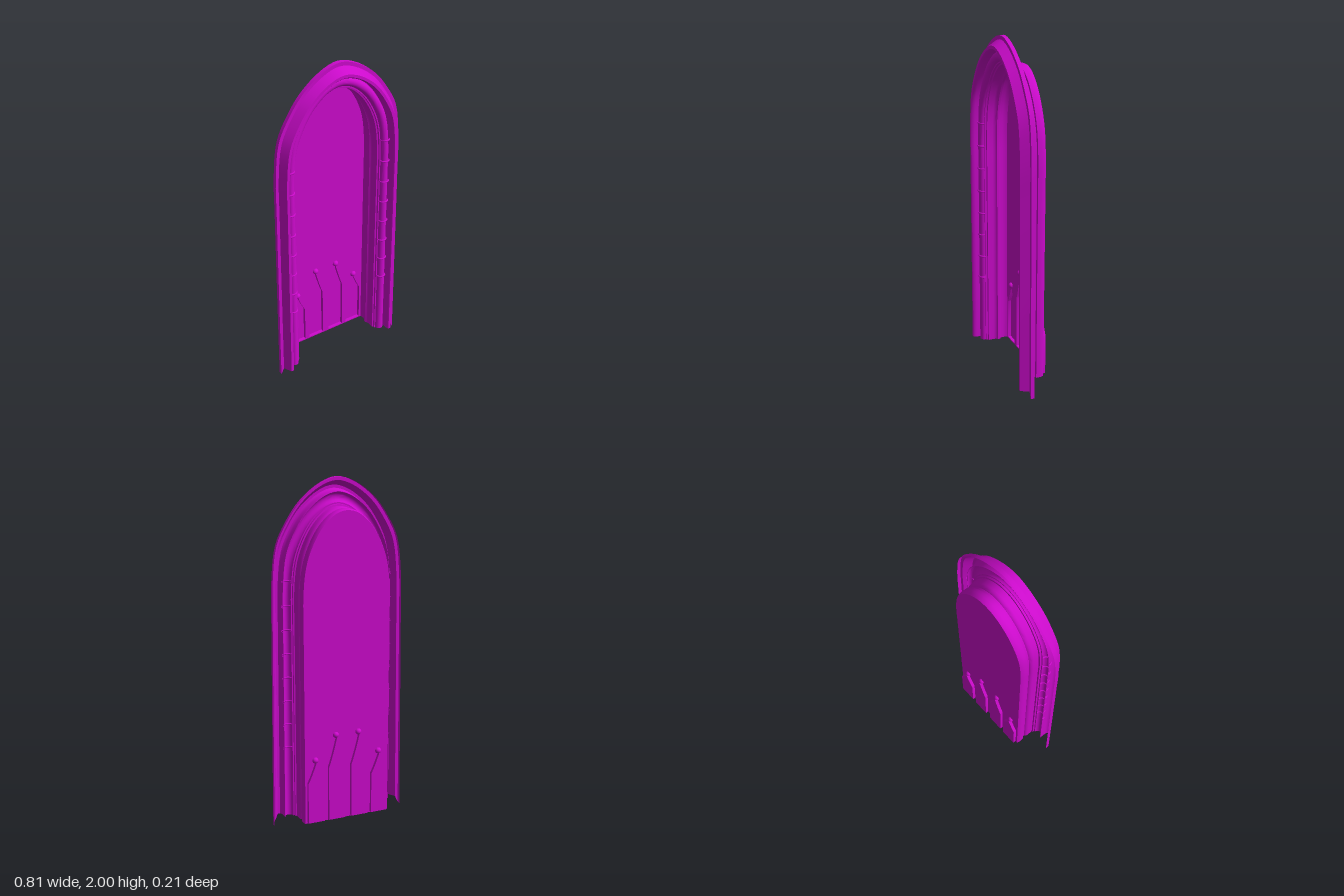
import * as THREE from 'three';
import { toCreasedNormals } from 'three/addons/utils/BufferGeometryUtils.js';

const material = new THREE.MeshStandardMaterial({ color: 0xcc0acc, side: THREE.DoubleSide });

// Right half of the outer and inner arch lines, from the foot to the apex
const OUTER = [[0.405, 0.04], [0.398, 0.8], [0.394, 1.2], [0.391, 1.42], [0.365, 1.64],
  [0.305, 1.765], [0.22, 1.88], [0.1, 1.97], [0, 2]];
const INNER = [[0.262, 0.04], [0.262, 0.8], [0.262, 1.18], [0.261, 1.38], [0.243, 1.54],
  [0.2, 1.66], [0.14, 1.755], [0.066, 1.818], [0, 1.835]];

// Arch line whose foot stands at half-width x, blended between the two lines
function archLine(x) {
  const t = (0.405 - x) / (0.405 - 0.262);
  const half = OUTER.map(([ox, oy], i) => new THREE.Vector3(
    THREE.MathUtils.lerp(ox, INNER[i][0], t), THREE.MathUtils.lerp(oy, INNER[i][1], t), 0));
  const mirrored = half.slice(0, -1).reverse().map((p) => new THREE.Vector3(-p.x, p.y, 0));
  return new THREE.CatmullRomCurve3([...half, ...mirrored], false, 'centripetal').getPoints(64);
}

// Skin through equal-length rows of points
function loft(rows, crease = 0.6) {
  const n = rows[0].length;
  const positions = rows.flat().flatMap((p) => [p.x, p.y, p.z]);
  const index = [];
  for (let r = 0; r < rows.length - 1; r++) {
    for (let i = 0; i < n - 1; i++) {
      const a = r * n + i, b = a + n;
      index.push(a, a + 1, b, a + 1, b + 1, b);
    }
  }
  const geometry = new THREE.BufferGeometry();
  geometry.setAttribute('position', new THREE.Float32BufferAttribute(positions, 3));
  geometry.setIndex(index);
  return toCreasedNormals(geometry, crease);
}

function add(group, name, geometry, x = 0, y = 0, z = 0) {
  const mesh = new THREE.Mesh(geometry, material);
  mesh.name = name;
  mesh.position.set(x, y, z);
  group.add(mesh);
  return mesh;
}

// Pointed lancet outline, counter-clockwise from the lower left
function lancetPoints({ x, spring, apex }) {
  const w = 0.05, foot = 0.047, rise = apex - spring;
  const shape = new THREE.Shape();
  shape.moveTo(x - w, foot);
  shape.lineTo(x + w, foot);
  shape.lineTo(x + w, spring);
  shape.quadraticCurveTo(x + w * 0.5, spring + rise * 0.4, x, apex);
  shape.quadraticCurveTo(x - w * 0.5, spring + rise * 0.4, x - w, spring);
  return shape.getPoints(8);
}

export function createModel() {
  const model = new THREE.Group();
  model.name = 'archedNiche';
  const panelZ = -0.088, lancetZ = -0.107;
  const beadX = 0.307, beadZ = 0.048, beadR = 0.025;

  // Moulding section as [half-width, z], from the outer flange to the panel
  const section = [[0.405, 0.035], [0.405, 0.058], [0.386, 0.058], [0.36, 0.105], [0.345, 0.105],
    [0.339, 0.098], [0.336, 0.085], [0.335, 0.065], [0.334, beadZ]];
  for (let i = 0; i <= 10; i++) {
    const a = (i / 10) * Math.PI;
    section.push([beadX + beadR * Math.cos(a), beadZ + beadR * Math.sin(a)]);
  }
  section.push([0.275, beadZ], [0.274, 0.037], [0.266, 0.035], [0.266, 0.0], [0.263, -0.012],
    [0.257, -0.02], [0.254, -0.022], [0.253, -0.03], [0.254, -0.039], [0.265, -0.041],
    [0.266, -0.06], [0.265, -0.076], [0.26, panelZ]);

  const rows = section.map(([x, z], i) => {
    const line = archLine(x).map((p) => p.setZ(z));
    // The flange drops below the rest of the moulding in a small spur
    if (i < 2) line[0].y = line[line.length - 1].y = 0;
    return line;
  });
  add(model, 'archMoulding', loft(rows));

  // Rings around the slim columns
  for (const side of [-1, 1]) {
    for (let i = 0; i < 8; i++) {
      const ring = new THREE.TorusGeometry(beadR + 0.001, 0.005, 8, 14, Math.PI);
      ring.rotateX(Math.PI / 2);
      add(model, 'columnRing', ring, side * (beadX - (i === 7 ? 0.003 : 0)), 0.465 + i * 0.139, beadZ);
    }
  }

  // Back panel, open where the lancets are sunk into it
  const lancets = [
    { x: -0.197, spring: 0.29, apex: 0.412 }, { x: -0.07, spring: 0.37, apex: 0.548 },
    { x: 0.07, spring: 0.37, apex: 0.548 }, { x: 0.197, spring: 0.29, apex: 0.412 },
  ];
  const panel = new THREE.Shape(archLine(0.26).map((p) => new THREE.Vector2(p.x, p.y)));
  for (const lancet of lancets) {
    const points = lancetPoints(lancet);
    panel.holes.push(new THREE.Path(points));

    // Sunk lancet: side walls, back and a ball finial
    const closed = [...points, points[0]];
    const wall = [panelZ, lancetZ].map((z) => closed.map((p) => new THREE.Vector3(p.x, p.y, z)));
    add(model, 'lancetWall', loft(wall));
    add(model, 'lancetBack', new THREE.ShapeGeometry(new THREE.Shape(points)), 0, 0, lancetZ);
    add(model, 'lancetFinial', new THREE.SphereGeometry(0.018, 16, 12),
      lancet.x, lancet.apex + 0.01, panelZ);
  }
  add(model, 'backPanel', new THREE.ShapeGeometry(panel), 0, 0, panelZ);

  return model;
}
